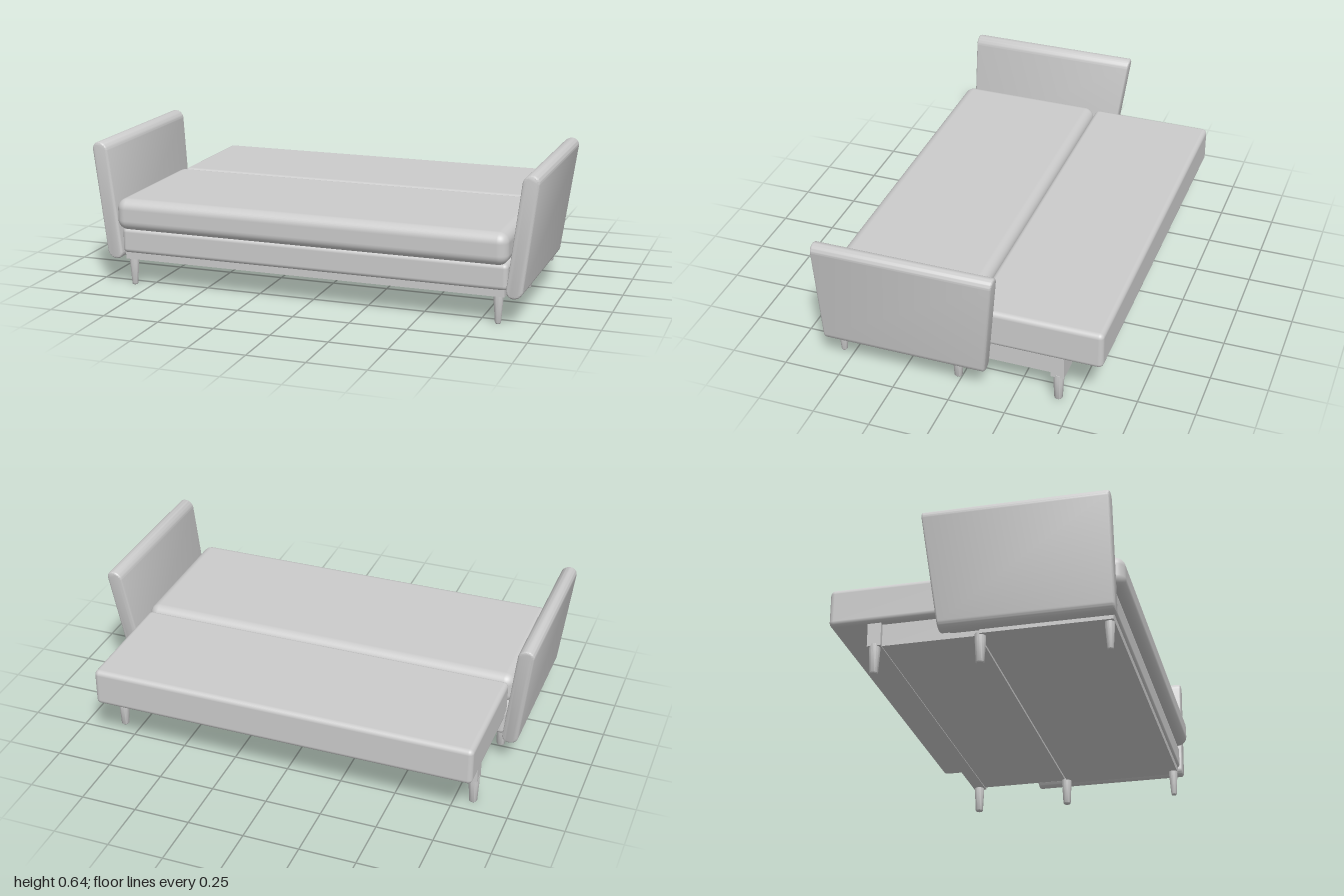
import * as THREE from 'three';
import { RoundedBoxGeometry } from 'three/addons/geometries/RoundedBoxGeometry.js';
import { toCreasedNormals } from 'three/addons/utils/BufferGeometryUtils.js';

const material = new THREE.MeshStandardMaterial({ color: 0xcccccc });

function add(group, name, geometry, x = 0, y = 0, z = 0) {
  const mesh = new THREE.Mesh(geometry, material);
  mesh.name = name;
  mesh.position.set(x, y, z);
  group.add(mesh);
  return mesh;
}

// Box given by its limits; r > 0 rounds the edges
function block(group, name, [x0, x1], [y0, y1], [z0, z1], r = 0) {
  const size = [x1 - x0, y1 - y0, z1 - z0];
  const geometry = r ? new RoundedBoxGeometry(...size, 5, r) : new THREE.BoxGeometry(...size);
  return add(group, name, geometry, (x0 + x1) / 2, (y0 + y1) / 2, (z0 + z1) / 2);
}

// Padded arm: rounded slab that leans outward, with a sloping rear edge
function armGeometry(side) {
  const bevel = 0.01, w = 0.036 - bevel, y0 = 0.12 + bevel, y1 = 0.643 - bevel;
  const zFront = 0.59, length = 0.79;
  const shape = new THREE.Shape();
  shape.moveTo(w, y0 + w);
  shape.lineTo(w, y1 - w);
  shape.absarc(0, y1 - w, w, 0, Math.PI, false);
  shape.lineTo(-w, y0 + w);
  shape.absarc(0, y0 + w, w, Math.PI, 2 * Math.PI, false);
  const geometry = new THREE.ExtrudeGeometry(shape, {
    depth: length - 2 * bevel, bevelEnabled: true, bevelSize: bevel,
    bevelThickness: bevel, bevelSegments: 4, curveSegments: 12,
  });
  geometry.translate(0, 0, zFront - length + bevel);
  const p = geometry.attributes.position;
  for (let i = 0; i < p.count; i++) {
    const y = p.getY(i), z = p.getZ(i);
    const fromFront = (zFront - z) / length;
    p.setX(i, p.getX(i) + side * (0.9 + (y - 0.12) * 0.125));
    p.setZ(i, z + fromFront * (0.643 - y) * 0.125);
  }
  return toCreasedNormals(geometry, 0.6);
}

export function createModel() {
  const model = new THREE.Group();
  model.name = 'sofaBed';

  // Unfolded mattress in two halves
  block(model, 'seatCushion', [-0.882, 0.878], [0.26, 0.4], [-0.052, 0.622], 0.045);
  block(model, 'backCushion', [-0.868, 0.862], [0.222, 0.392], [-0.625, -0.06], 0.022);

  // Upholstered front base and the wooden frame beneath it
  block(model, 'upholsteredBase', [-0.872, 0.872], [0.148, 0.262], [-0.12, 0.58], 0.02);
  block(model, 'frontFrame', [-0.86, 0.86], [0.12, 0.16], [0.02, 0.57]);

  // Rear storage base carrying the folded-out half
  block(model, 'rearBase', [-0.83, 0.83], [0.124, 0.226], [-0.4, 0.012]);
  block(model, 'rearRail', [-0.85, 0.85], [0.12, 0.226], [-0.458, -0.4]);

  for (const side of [1, -1]) {
    const label = side > 0 ? 'left' : 'right';
    add(model, label + 'Arm', armGeometry(side));

    // Tapered legs: front, middle and rear
    for (const [name, z, top, bottom] of [
      ['FrontLeg', 0.55, 0.02, 0.013],
      ['MiddleLeg', 0.018, 0.023, 0.018],
      ['RearLeg', -0.43, 0.023, 0.018],
    ]) {
      const profile = [[0, 0], [bottom - 0.003, 0], [bottom, 0.004], [top, 0.1], [top, 0.13], [0, 0.13]]
        .map(([r, y]) => new THREE.Vector2(r, y));
      const leg = toCreasedNormals(new THREE.LatheGeometry(profile, 20), 0.6);
      add(model, label + name, leg, side * 0.83, 0, z);
    }
  }
  return model;
}
